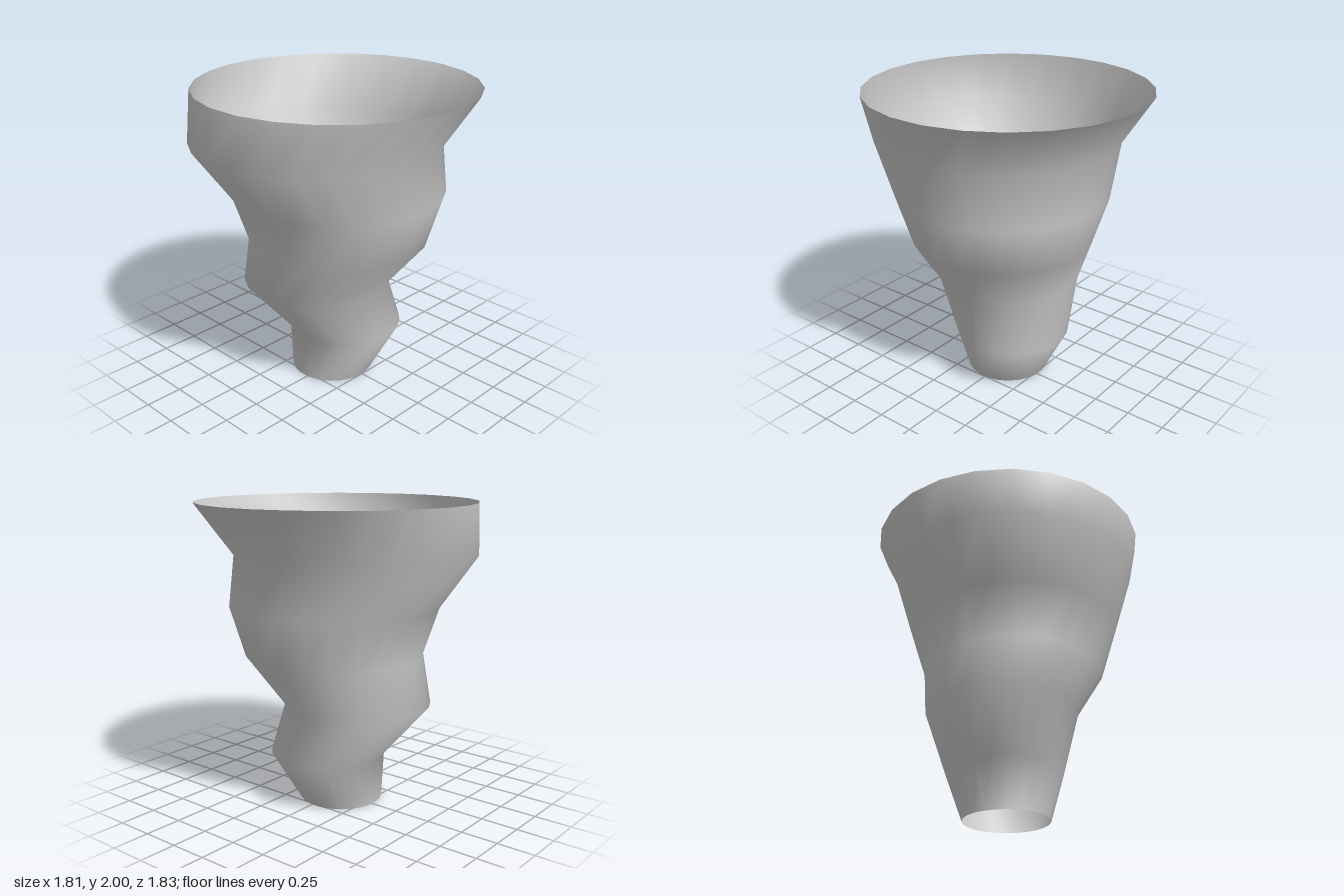
import * as THREE from 'three';
import { mergeVertices } from 'three/addons/utils/BufferGeometryUtils.js';

// One ring per level, bottom to top: [radius, centre x, centre z]
const RINGS = [
  [0.277, -0.028, 0.01],
  [0.381, 0.022, -0.07],
  [0.486, -0.12, 0.075],
  [0.593, 0.032, 0.01],
  [0.698, 0.028, 0.012],
  [0.803, -0.063, 0.12],
  [0.911, -0.002, -0.008],
];
const HEIGHT = 2;
const SIDES = 24;

// Open funnel whose rings widen upwards and wander off the axis
function funnelGeometry() {
  const levels = RINGS.length - 1;
  let geo = new THREE.CylinderGeometry(1, 1, HEIGHT, SIDES, levels, true, Math.PI / SIDES);
  geo.translate(0, HEIGHT / 2, 0);

  const pos = geo.attributes.position;
  for (let i = 0; i < pos.count; i++) {
    const [r, cx, cz] = RINGS[Math.round((pos.getY(i) / HEIGHT) * levels)];
    pos.setX(i, cx + r * pos.getX(i));
    pos.setZ(i, cz + r * pos.getZ(i));
  }

  // Weld the seam so the shading is smooth all round
  geo.deleteAttribute('uv');
  geo.deleteAttribute('normal');
  geo = mergeVertices(geo, 1e-4);
  geo.computeVertexNormals();
  return geo;
}

export function createModel() {
  const group = new THREE.Group();
  group.name = 'twistedFunnel';
  const material = new THREE.MeshStandardMaterial({ color: 0xcccccc, side: THREE.DoubleSide });
  const shell = new THREE.Mesh(funnelGeometry(), material);
  shell.name = 'funnelShell';
  group.add(shell);
  return group;
}
